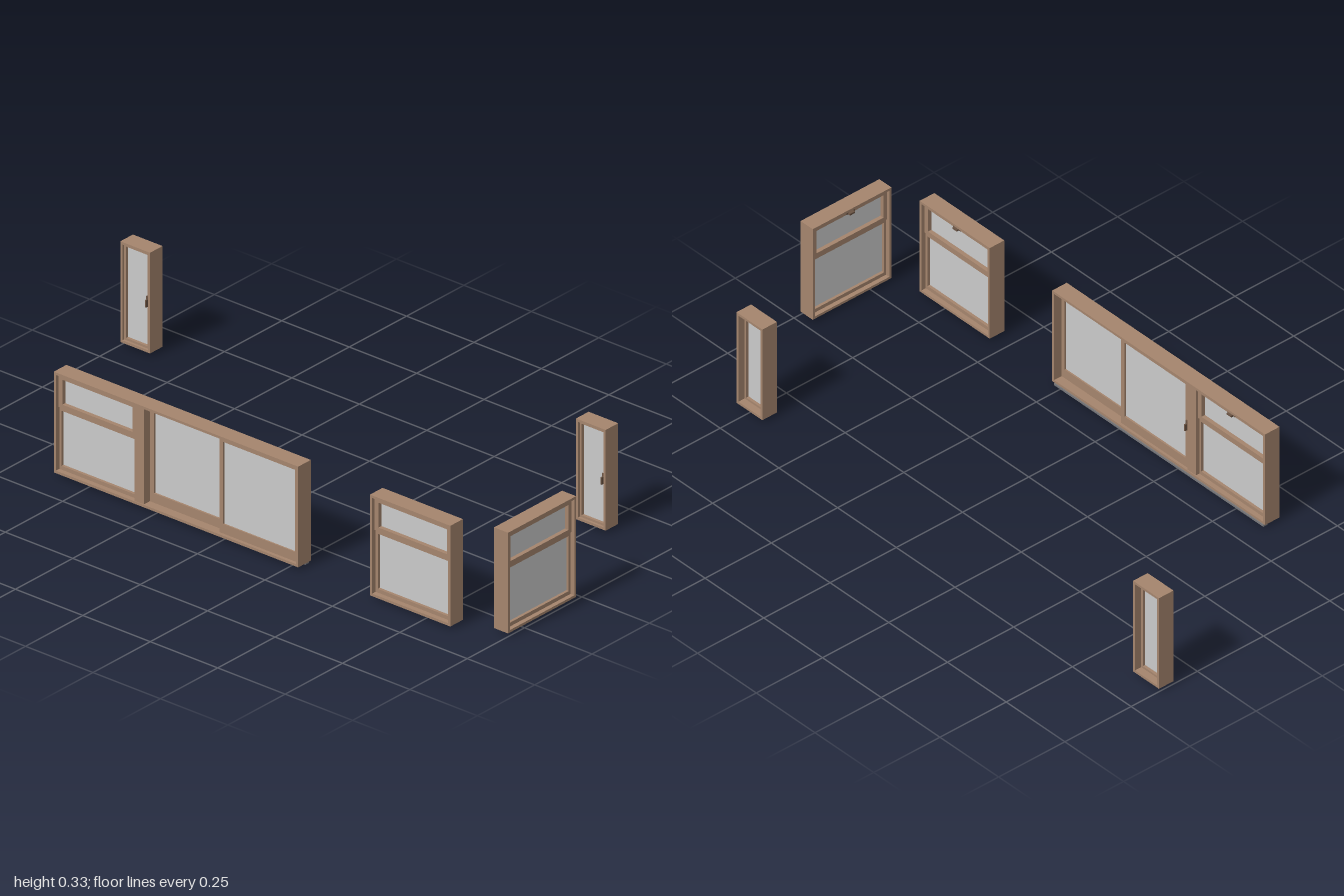
import * as THREE from 'three';

const frameMat = new THREE.MeshStandardMaterial({ color: 0xa5856d });
frameMat.name = 'brown frame';
const glassMat = new THREE.MeshStandardMaterial({ color: 0xcacaca });
glassMat.name = 'pale glass';
const metalMat = new THREE.MeshStandardMaterial({ color: 0x77777a });
metalMat.name = 'grey metal';
const handleMat = new THREE.MeshStandardMaterial({ color: 0x6b5444 });
handleMat.name = 'dark bronze';

const Y0 = 0.01, Y1 = 0.33;

// Box given by its limits on each axis
function box(name, mat, x0, x1, y0, y1, z0, z1) {
  const m = new THREE.Mesh(new THREE.BoxGeometry(x1 - x0, y1 - y0, z1 - z0), mat);
  m.position.set((x0 + x1) / 2, (y0 + y1) / 2, (z0 + z1) / 2);
  m.name = name;
  return m;
}

// Rectangular ring with separate side, top and bottom widths
function ring(name, x0, x1, y0, y1, z0, z1, side, top = side, bottom = side) {
  const shape = new THREE.Shape();
  shape.moveTo(x0, y0).lineTo(x1, y0).lineTo(x1, y1).lineTo(x0, y1).closePath();
  const hole = new THREE.Path();
  hole.moveTo(x0 + side, y0 + bottom).lineTo(x0 + side, y1 - top)
    .lineTo(x1 - side, y1 - top).lineTo(x1 - side, y0 + bottom).closePath();
  shape.holes.push(hole);
  const m = new THREE.Mesh(
    new THREE.ExtrudeGeometry(shape, { depth: z1 - z0, bevelEnabled: false }), frameMat);
  m.position.z = z0;
  m.name = name;
  return m;
}

// Sash ring with its pane of glass; z is the glass plane
function sash(name, x0, x1, y0, y1, z, half, side, top = side, bottom = side) {
  const g = new THREE.Group();
  g.name = name;
  g.add(ring('sashFrame', x0, x1, y0, y1, z - half, z + half, side, top, bottom));
  g.add(box('glass', glassMat, x0 + side, x1 - side, y0 + bottom, y1 - top, z - 0.003, z + 0.003));
  return g;
}

// Lever handle on the indoor (-z) side
function handle(x, y, z, upright) {
  const g = new THREE.Group();
  g.name = 'handle';
  const [w, h] = upright ? [0.004, 0.016] : [0.016, 0.004];
  g.add(box('handlePlate', handleMat, x - w, x + w, y - h, y + h, z - 0.004, z));
  g.add(box('handleLever', handleMat, x - w * 0.6, x + w * 0.6, y - h, y + h * 0.4, z - 0.012, z - 0.004));
  return g;
}

// Hinged top light above a fixed lower pane
function splitLight(x0, x1) {
  const g = new THREE.Group();
  g.name = 'splitLight';
  g.add(sash('lowerLight', x0, x1, Y0 + 0.008, 0.216, 0, 0.012, 0.008, 0.011, 0.012));
  g.add(sash('topLight', x0, x1, 0.216, Y1 - 0.008, 0, 0.016, 0.014, 0.015, 0.012));
  g.add(handle((x0 + x1) / 2, Y1 - 0.016, -0.016, false));
  return g;
}

// Outer casing, centred on local x; outdoors faces local +z
function casing(name, width, depth) {
  const g = new THREE.Group();
  g.name = name;
  g.add(ring('outerFrame', -width / 2, width / 2, Y0, Y1, -depth / 2, depth / 2, 0.008));
  return g;
}

function splitWindow(name, width, depth) {
  const g = casing(name, width, depth);
  g.add(splitLight(-width / 2 + 0.008, width / 2 - 0.008));
  return g;
}

function narrowWindow(name) {
  const w = 0.11, g = casing(name, w, 0.055);
  g.add(sash('casement', -w / 2 + 0.007, w / 2 - 0.007, Y0 + 0.007, Y1 - 0.007, -0.008, 0.012, 0.008));
  g.add(handle(-w / 2 + 0.013, 0.17, -0.02, true));
  return g;
}

function slidingDoor() {
  const w = 0.906, h = w / 2, g = casing('longWindow', w, 0.055);
  const c = 0.169; // local x of the meeting stiles
  g.add(sash('outerSlider', c - 0.016, h - 0.008, Y0 + 0.008, Y1 - 0.008, 0.009, 0.008, 0.013, 0.013, 0.03));
  g.add(sash('innerSlider', c - 0.29, c, Y0 + 0.008, Y1 - 0.008, -0.01, 0.009, 0.015, 0.013, 0.03));
  g.add(handle(c - 0.283, 0.17, -0.019, true));
  // Post between the sliders and the split light
  g.add(box('post', frameMat, c - 0.325, c - 0.29, Y0 + 0.004, Y1 - 0.004, -0.025, 0.025));
  g.add(splitLight(-h + 0.008, c - 0.325));
  // Metal track under the indoor edge
  g.add(box('floorTrack', metalMat, -h + 0.007, h - 0.007, 0, 0.007, -0.0275, -0.0125));
  g.add(box('trackPacking', metalMat, -h + 0.007, h - 0.007, 0.007, Y0, -0.025, -0.015));
  return g;
}

export function createModel() {
  const model = new THREE.Group();
  model.name = 'windowSet';
  const place = (g, x, z, turn) => {
    g.position.set(x, 0, z);
    g.rotation.y = turn * Math.PI / 2;
    model.add(g);
  };
  place(splitWindow('frontWindow', 0.297, 0.052), -0.1735, 0.974, 0);
  place(splitWindow('sideWindow', 0.298, 0.055), -0.3675, 0.699, -1);
  place(slidingDoor(), -0.3675, -0.169, -1);
  place(narrowWindow('narrowWindowFront'), 0.3675, 0.744, 1);
  place(narrowWindow('narrowWindowBack'), 0.3675, -0.945, 1);
  return model;
}
